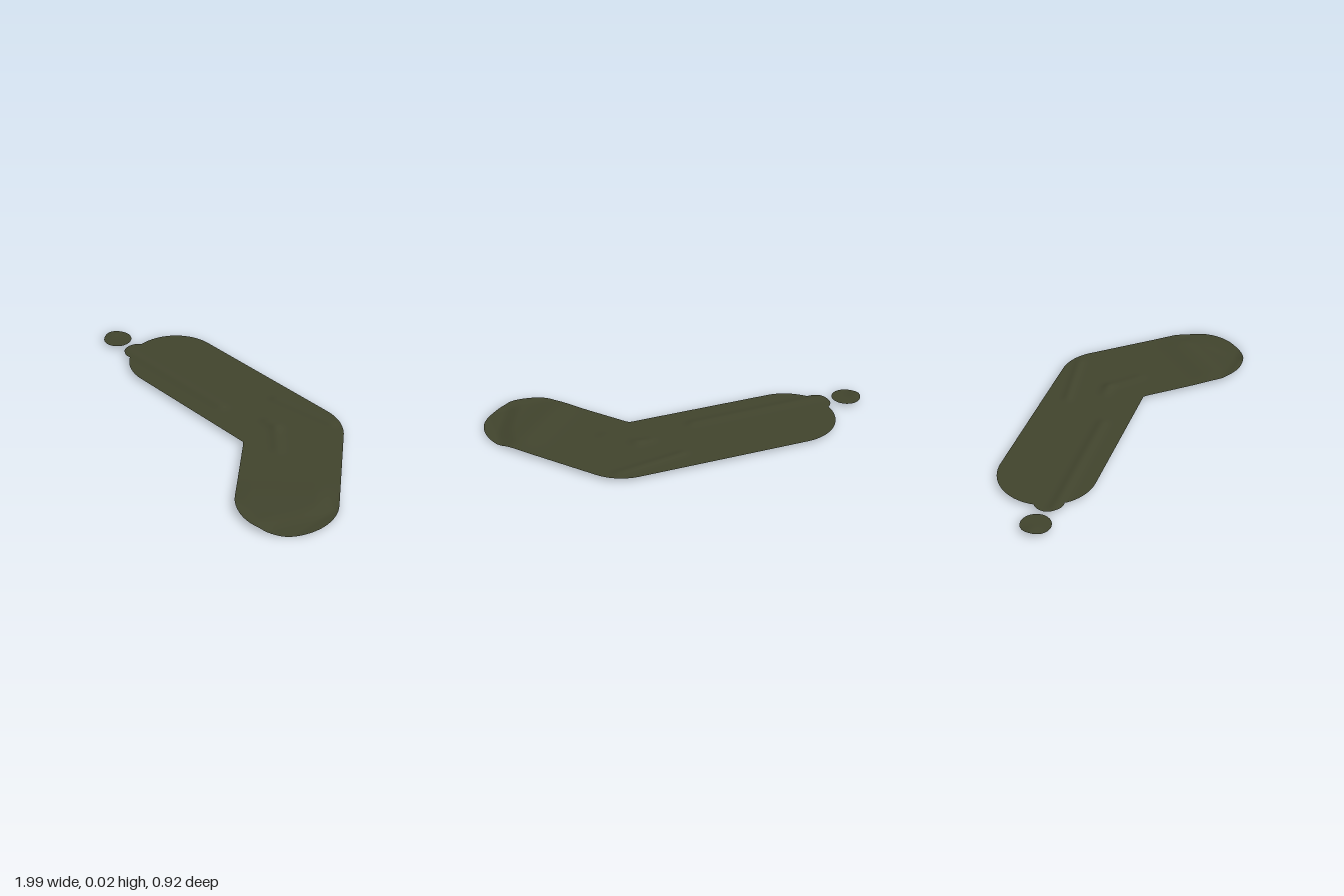
import * as THREE from 'three';

const olive = new THREE.MeshStandardMaterial({ color: 0x41442d, side: THREE.DoubleSide });
olive.name = 'dark olive';

// Soft folds in the sheet: x1, z1, x2, z2, width, height
const folds = [
  [-0.78, -0.03, -0.05, -0.07, 0.03, 0.007],
  [0.1, -0.33, 0.45, -0.4, 0.025, 0.006],
  [0.22, -0.16, 0.28, -0.16, 0.03, 0.006],
  [0.28, -0.16, 0.42, -0.04, 0.03, 0.005],
  [0.6, 0.3, 0.8, 0.08, 0.09, 0.009],
  [0.6, 0.43, 0.8, 0.45, 0.03, 0.007],
  [-1.0, -0.07, -0.98, -0.07, 0.04, 0.007],
];

const step = (a, b, v) => THREE.MathUtils.smoothstep(v, a, b);

// Height of the sheet at any point
function height(x, z) {
  let y = 0.013;
  for (const [x1, z1, x2, z2, w, h] of folds) {
    const dx = x2 - x1, dz = z2 - z1;
    const t = THREE.MathUtils.clamp(((x - x1) * dx + (z - z1) * dz) / (dx * dx + dz * dz), 0, 1);
    const d = Math.hypot(x - x1 - t * dx, z - z1 - t * dz);
    y += h * Math.exp(-((d / w) ** 2));
  }
  // The far end dips, then turns up a little at its rim
  const edge = 0.86 + 0.05 * Math.cos((z - 0.1) * 9);
  const dip = step(edge - 0.06, edge + 0.04, x) * step(0, 0.08, z) * (1 - step(0.38, 0.46, z));
  y -= dip * (0.013 - 0.007 * step(0.93, 1, x));
  return Math.max(0, y);
}

// Grid surface from a rule giving (x, z) for u, v in 0..1
function sheet(name, nu, nv, rule) {
  const geo = new THREE.PlaneGeometry(1, 1, nu, nv);
  const p = geo.attributes.position;
  for (let i = 0; i < p.count; i++) {
    const [x, z] = rule(p.getX(i) + 0.5, 0.5 - p.getY(i));
    p.setXYZ(i, x, height(x, z), z);
  }
  geo.computeVertexNormals();
  const mesh = new THREE.Mesh(geo, olive);
  mesh.name = name;
  return mesh;
}

// Centre line of the bent pad
const spine = [[-0.54, -0.17], [0.37, -0.21], [0.74, 0.2]];
const R = 0.253;

// Front and back limits of the rounded strip at a given x
function limits(x) {
  let lo = Infinity, hi = -Infinity;
  const add = z => { lo = Math.min(lo, z); hi = Math.max(hi, z); };
  for (const [cx, cz] of spine) {
    const s = R * R - (x - cx) ** 2;
    if (s >= -1e-9) [-1, 1].forEach(k => add(cz + k * Math.sqrt(Math.max(0, s))));
  }
  for (let i = 0; i < 2; i++) {
    const [ax, az] = spine[i], [bx, bz] = spine[i + 1];
    const len = Math.hypot(bx - ax, bz - az);
    for (const k of [-1, 1]) {
      const ox = -k * R * (bz - az) / len, oz = k * R * (bx - ax) / len;
      const t = (x - ax - ox) / (bx - ax);
      if (t >= 0 && t <= 1) add(az + oz + t * (bz - az));
    }
  }
  // Inner corner of the bend
  return [lo, hi];
}

// Small round pieces
function disc(name, cx, cz, r) {
  return sheet(name, 32, 8, (u, v) => {
    const a = u * Math.PI * 2;
    return [cx + r * v * Math.cos(a), cz + r * v * Math.sin(a)];
  });
}

export function createModel() {
  const group = new THREE.Group();
  group.name = 'bentPatch';
  const x0 = spine[0][0] - R, x1 = spine[2][0] + R;
  group.add(sheet('bentPad', 160, 60, (u, v) => {
    // Columns crowd toward both rounded ends
    const x = x0 + (x1 - x0) * (0.5 - 0.5 * Math.cos(Math.PI * u));
    const [lo, hi] = limits(x);
    return [x, lo + (hi - lo) * v];
  }));
  group.add(disc('sideLobe', -0.745, -0.075, 0.077));
  group.add(disc('looseDot', -0.923, -0.068, 0.077));
  return group;
}
